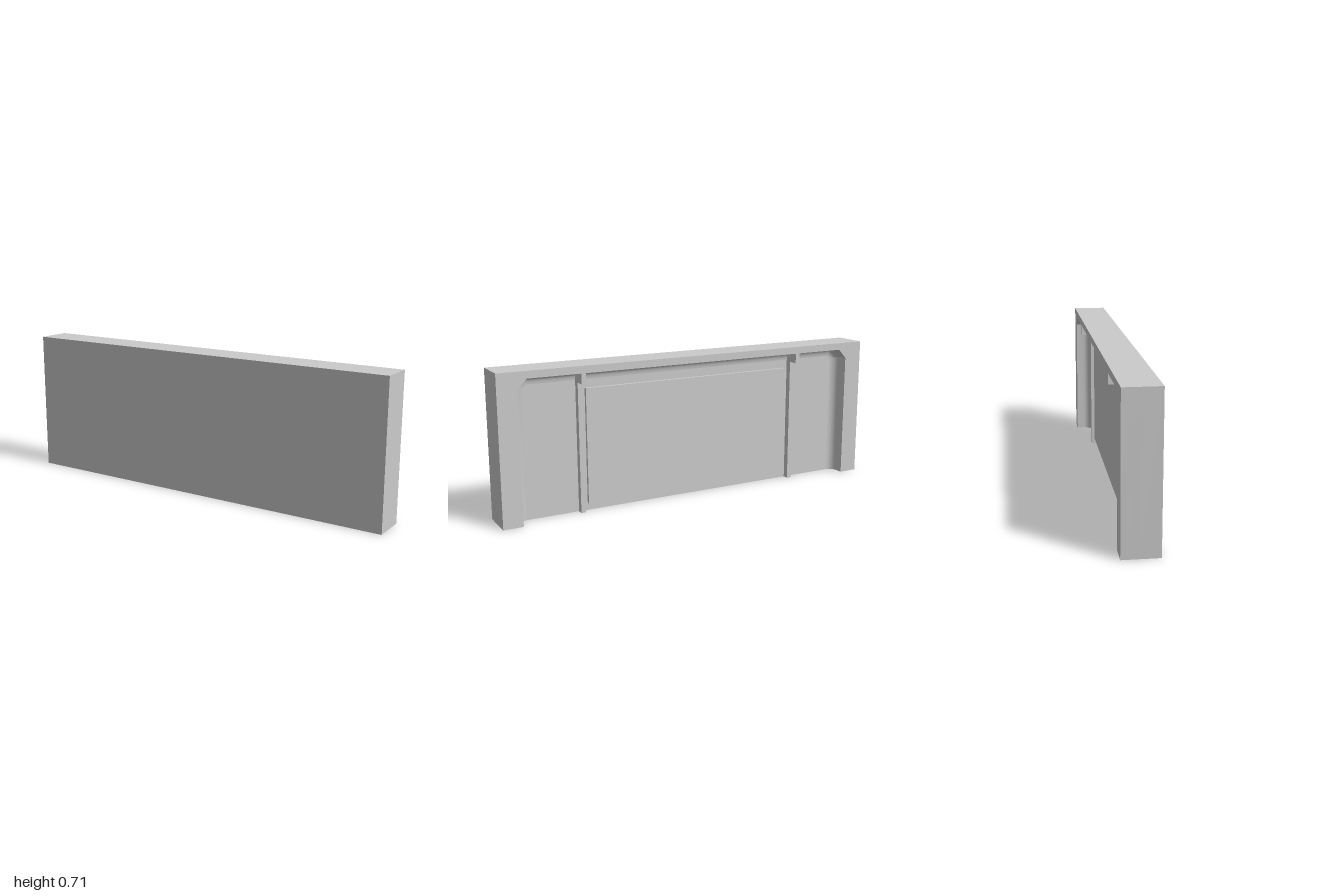
import * as THREE from 'three';
import { toCreasedNormals } from 'three/addons/utils/BufferGeometryUtils.js';

const H = 0.715, BACK = -0.085, FLOOR = -0.005;
const RADIUS = 0.042, STRAIGHT = 0.038;

// Slab outline with a recess open at the bottom; w narrows the recess evenly
function section(w) {
  const m = w * 0.414;
  const inner = [[0.904 - w, 0], [0.904 - w, 0.633 - m], [0.86 - m, 0.68 - w]];
  const mirrored = inner.map(([x, y]) => [-x, y]).reverse();
  return [[-1, 0], [-1, H], [1, H], [1, 0], ...inner, ...mirrored];
}

// Walls between successive sections: straight first, then a cove down to the floor
function frameGeometry() {
  const rings = [{ pts: section(0), z: BACK }];
  const steps = 6;
  for (let i = 0; i <= steps; i++) {
    const t = (i / steps) * Math.PI / 2;
    rings.push({
      pts: section(RADIUS * (1 - Math.cos(t))),
      z: BACK + STRAIGHT + RADIUS * Math.sin(t),
    });
  }
  const pos = [];
  for (let r = 0; r < rings.length - 1; r++) {
    const a = rings[r], b = rings[r + 1], n = a.pts.length;
    for (let i = 0; i < n; i++) {
      const j = (i + 1) % n;
      const A = [...a.pts[i], a.z], B = [...a.pts[j], a.z];
      const C = [...b.pts[i], b.z], D = [...b.pts[j], b.z];
      pos.push(...A, ...C, ...B, ...C, ...D, ...B);
    }
  }
  const g = new THREE.BufferGeometry();
  g.setAttribute('position', new THREE.Float32BufferAttribute(pos, 3));
  g.computeVertexNormals();
  return toCreasedNormals(g, 0.4);
}

const toShape = (pts) => new THREE.Shape(pts.map(([x, y]) => new THREE.Vector2(x, y)));

export function createModel() {
  const group = new THREE.Group();
  const mat = new THREE.MeshStandardMaterial({ color: 0xcccccc });
  const add = (name, geo, x = 0, y = 0, z = 0) => {
    const mesh = new THREE.Mesh(geo, mat);
    mesh.name = name;
    mesh.position.set(x, y, z);
    group.add(mesh);
  };

  // Solid front slab
  const depth = -BACK - FLOOR;
  add('frontSlab', new THREE.BoxGeometry(2, H, depth), 0, H / 2, FLOOR + depth / 2);

  // Surrounding frame and its flat rear face
  add('recessFrame', frameGeometry());
  add('rearRim', new THREE.ShapeGeometry(toShape(section(0))).rotateY(Math.PI), 0, 0, BACK);

  // Raised middle panel
  add('raisedPanel', new THREE.BoxGeometry(1.116, 0.562, 0.02), 0, 0.316, FLOOR - 0.005);

  // Two upright ribs, each with a deeper hook under the top of the recess
  const ribWidth = 0.023;
  const profile = toShape([
    [FLOOR, 0], [-0.035, 0], [-0.035, 0.63], [BACK, 0.63], [BACK, 0.68], [FLOOR, 0.68],
  ]);
  for (const side of [-1, 1]) {
    const rib = new THREE.ExtrudeGeometry(profile, { depth: ribWidth, bevelEnabled: false });
    rib.rotateY(-Math.PI / 2).translate(ribWidth / 2, 0, 0);
    add(side > 0 ? 'leftRib' : 'rightRib', rib, side * 0.592);
  }
  return group;
}
